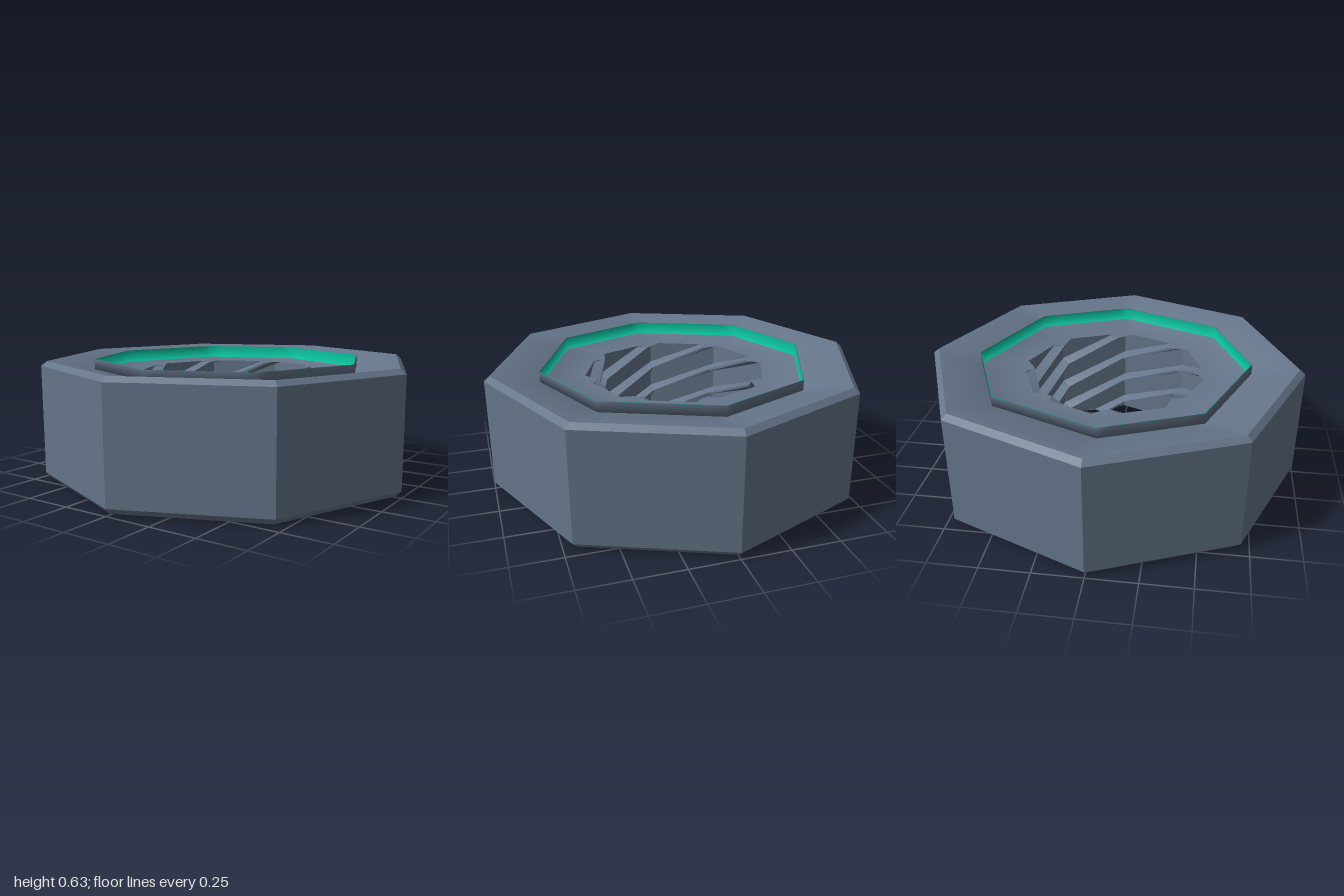
import * as THREE from 'three';
import { mergeVertices } from 'three/addons/utils/BufferGeometryUtils.js';

const SIDES = 8;
const SUB = 8;            // columns per flat, so the thread is cut cleanly at the end faces
const TOP = 0.565, BOTTOM = 0.07;
const PITCH = 0.15;       // eight starts, each climbing one pitch per flat
const START = 0.117;      // height of a crest at the +x corner
const CREST = 0.44, ROOT = 0.5;
// thread section over one pitch: [height, radius]
const SECTION = [[0, CREST], [0.014, CREST], [0.03, ROOT], [0.134, ROOT], [0.15, CREST]];

// Point on an octagon of radius 1; alternate corners may be nudged sideways
function octagon(u, nudge) {
  const corner = (k) => {
    const a = (k * Math.PI * 2) / SIDES + (k % 2 ? nudge : -nudge);
    return new THREE.Vector2(Math.cos(a), Math.sin(a));
  };
  const k = Math.floor(u + 1e-6);
  return corner(k).lerp(corner(k + 1), u - k);
}

// One closed loop; y and r may be functions of the position u along the octagon
function loop(r, y, nudge = 0) {
  const points = [];
  for (let i = 0; i <= SIDES * SUB; i++) {
    const u = i / SUB;
    const height = typeof y === 'function' ? y(u) : y;
    const radius = typeof r === 'function' ? r(u, height) : r;
    const p = octagon(u, nudge).multiplyScalar(radius);
    points.push(new THREE.Vector3(p.x, height, p.y));
  }
  return points;
}

// Skin across strips of loops, one material per strip.
// Ascending loops face outward, descending ones inward.
function skin(name, strips, materials, smooth = false) {
  const positions = [];
  const groups = [];
  const tri = new THREE.Triangle();
  const add = (a, b, c) => {
    if (tri.set(a, b, c).getArea() < 1e-8) return;
    for (const p of [a, b, c]) positions.push(p.x, p.y, p.z);
  };
  strips.forEach((loops, s) => {
    const first = positions.length / 3;
    for (let j = 0; j < loops.length - 1; j++) {
      for (let i = 0; i < loops[j].length - 1; i++) {
        const a = loops[j][i], b = loops[j][i + 1];
        const c = loops[j + 1][i + 1], d = loops[j + 1][i];
        add(a, d, c);
        add(a, c, b);
      }
    }
    groups.push([first, positions.length / 3 - first, s]);
  });
  let geometry = new THREE.BufferGeometry();
  geometry.setAttribute('position', new THREE.Float32BufferAttribute(positions, 3));
  if (smooth) geometry = mergeVertices(geometry, 1e-4);
  geometry.computeVertexNormals();
  for (const g of groups) geometry.addGroup(...g);
  const mesh = new THREE.Mesh(geometry, materials);
  mesh.name = name;
  return mesh;
}

// Bore radius at a height and position along the octagon
function threadRadius(u, y) {
  const h = THREE.MathUtils.euclideanModulo(y - START - PITCH * u, PITCH);
  for (let i = 1; i < SECTION.length; i++) {
    const [h0, r0] = SECTION[i - 1], [h1, r1] = SECTION[i];
    if (h <= h1) return r0 + ((r1 - r0) * (h - h0)) / (h1 - h0);
  }
  return CREST;
}

export function createModel() {
  const slate = new THREE.MeshStandardMaterial({ color: 0x65758a, side: THREE.DoubleSide });
  slate.name = 'slate';
  const green = new THREE.MeshStandardMaterial({ color: 0x08bc98, side: THREE.DoubleSide });
  green.name = 'green';

  const group = new THREE.Group();
  group.name = 'octagonalNut';
  const LIP = 0.726, LINING = 0.722, NUDGE = 0.028;

  // Outer wall with small chamfers
  group.add(skin('outerWall', [[
    loop(0.97, 0.005),
    loop(1, 0.035),
    loop(1, 0.605),
    loop(0.97, 0.63),
  ]], [slate]));

  // Threaded bore, from top to bottom
  const bore = [];
  for (let turn = 4; turn >= -10; turn--) {
    for (let i = SECTION.length - 1; i > 0; i--) {
      const start = START + turn * PITCH + SECTION[i][0];
      bore.push(loop(threadRadius, (u) => THREE.MathUtils.clamp(start + PITCH * u, BOTTOM, TOP)));
    }
  }
  group.add(skin('threadedBore', [bore], [slate]));

  // Each end: dished outer face up to a thin lip, then a green lining and the inner face
  const ends = [
    { name: 'top', face: TOP, foot: 0.58, rim: 0.63, edge: 0.633 },
    { name: 'bottom', face: BOTTOM, foot: 0.055, rim: 0.005, edge: 0 },
  ];
  for (const { name, face, foot, rim, edge } of ends) {
    const lipFoot = loop(LIP, foot, NUDGE);
    const liningFoot = loop(LINING, face, NUDGE);
    const outer = [
      [loop(0.97, rim), lipFoot],
      [loop(LIP, edge, NUDGE), lipFoot],
    ];
    const inner = [
      [loop(LINING, edge, NUDGE), liningFoot],
      [liningFoot, loop(threadRadius, face)],
    ];
    if (name === 'bottom') for (const strip of [...outer, ...inner]) strip.reverse();
    group.add(skin(name + 'OuterFace', outer, [slate, slate], true));
    group.add(skin(name + 'InnerFace', inner, [green, slate], true));
  }
  return group;
}
